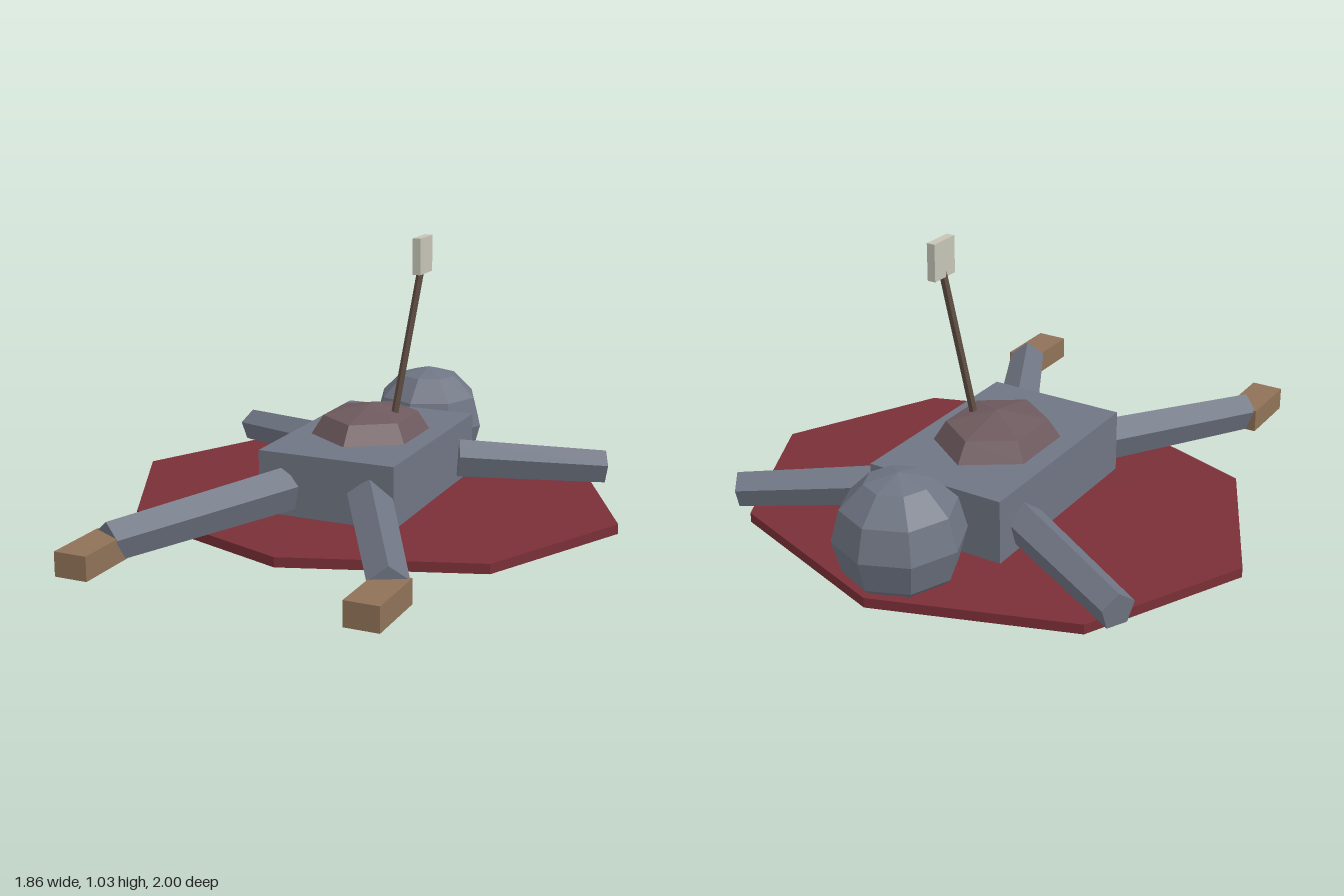
import * as THREE from 'three';

const mat = (color) => new THREE.MeshStandardMaterial({ color, flatShading: true });

export function createModel() {
  const root = new THREE.Group();
  const slate = mat(0x6f7583);
  const red = mat(0x7a2f37);
  const mauve = mat(0x6e5a5e);
  const tan = mat(0x8f7258);
  const wood = mat(0x5f4e43);
  const pale = mat(0xc6c4b6);

  const add = (name, geometry, material, x = 0, y = 0, z = 0) => {
    const mesh = new THREE.Mesh(geometry, material);
    mesh.name = name;
    mesh.position.set(x, y, z);
    root.add(mesh);
    return mesh;
  };

  // Tapered prism between two points, with one ridge kept uppermost
  const limb = (name, a, b, ra, rb, sides, material) => {
    const from = new THREE.Vector3(...a);
    const to = new THREE.Vector3(...b);
    const dir = to.clone().sub(from);
    const length = dir.length();
    dir.normalize();
    const hint = Math.abs(dir.y) > 0.9 ? new THREE.Vector3(0, 0, 1) : new THREE.Vector3(0, 1, 0);
    const side = dir.clone().cross(hint).normalize();
    const up = side.clone().cross(dir);
    const mesh = add(name, new THREE.CylinderGeometry(rb, ra, length, sides), material);
    mesh.quaternion.setFromRotationMatrix(new THREE.Matrix4().makeBasis(side, dir, up));
    mesh.position.copy(from).add(to).multiplyScalar(0.5);
    return mesh;
  };

  const lathe = (points, sides) =>
    new THREE.LatheGeometry(points.map(([r, y]) => new THREE.Vector2(r, y)), sides);

  // Flat octagonal pool under the figure, slightly swollen at its middle
  const pool = add('pool', lathe([[0, 0.052], [0.78, 0.06], [0.78, 0.095], [0, 0.1]], 8), red, 0, 0, -0.2);
  pool.scale.x = 0.93 / 0.78;

  // Torso and head
  add('torso', new THREE.BoxGeometry(0.51, 0.225, 0.78), slate, 0, 0.21, -0.2);
  add('head', new THREE.SphereGeometry(0.22, 8, 6), slate, 0, 0.225, -0.78);

  // Six-sided mound on the torso
  const mound = add('mound', lathe([[0.245, 0.32], [0.195, 0.39], [0, 0.43]], 6), mauve, 0, 0, -0.205);
  mound.scale.x = 0.86;

  // Arms, legs and feet, mirrored
  for (const s of [1, -1]) {
    const sideName = s > 0 ? 'left' : 'right';
    limb(sideName + 'Arm', [s * 0.25, 0.185, -0.445], [s * 0.745, 0.143, -0.7], 0.073, 0.063, 5, slate);
    limb(sideName + 'Leg', [s * 0.158, 0.19, 0.172], [s * 0.49, 0.144, 0.793], 0.08, 0.069, 5, slate);
    add(sideName + 'Foot', new THREE.BoxGeometry(0.117, 0.083, 0.245), tan, s * 0.494, 0.129, 0.878);
  }

  // Leaning shaft with its flat end piece
  limb('shaft', [0.09, 0.37, -0.205], [0.163, 0.92, -0.275], 0.014, 0.014, 5, wood);
  add('shaftVane', new THREE.BoxGeometry(0.03, 0.13, 0.115), pale, 0.165, 0.97, -0.28);

  return root;
}
